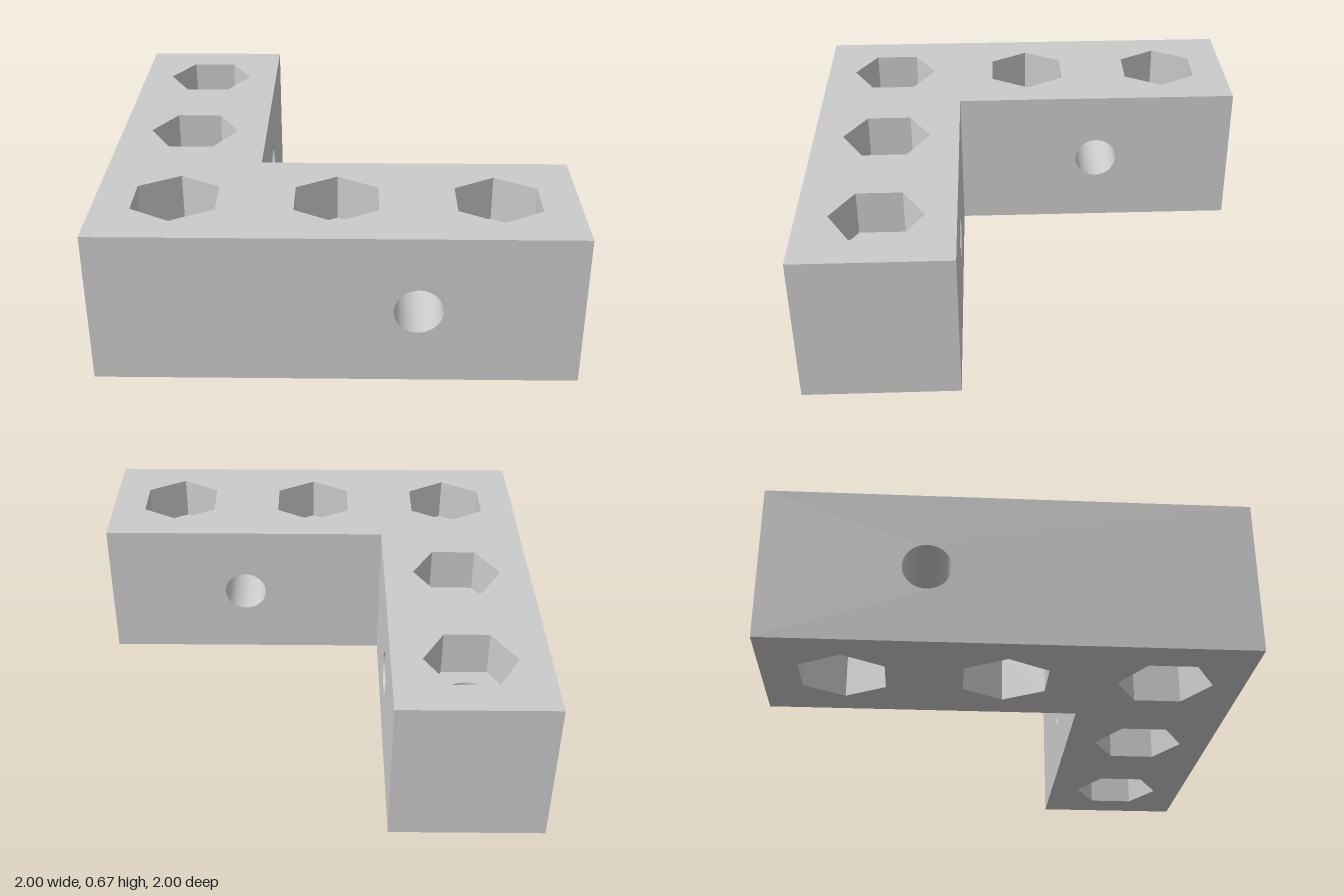
import * as THREE from 'three';

const T = 1 / 3, H = 2 * T;          // grid third, block height
const BORE = 0.1, HEX = 0.2, DEPTH = 0.2; // bore radius, hex corner radius, pocket depth

export function createModel() {
  const group = new THREE.Group();
  const solid = new THREE.MeshStandardMaterial({ color: 0xcccccc });
  const bored = new THREE.MeshStandardMaterial({ color: 0xcccccc, side: THREE.DoubleSide });
  const faceted = new THREE.MeshStandardMaterial({ color: 0xcccccc, side: THREE.DoubleSide, flatShading: true });

  const add = (name, geometry, material, x = 0, y = 0, z = 0) => {
    const mesh = new THREE.Mesh(geometry, material);
    mesh.name = name;
    mesh.position.set(x, y, z);
    group.add(mesh);
    return mesh;
  };
  const circleHole = (x, y) => new THREE.Path().absarc(x, y, BORE, 0, Math.PI * 2, true);
  const points = (list) => list.map(([x, y]) => new THREE.Vector2(x, y));
  // Hexagon with a corner along y (turned = false) or along x (turned = true)
  const hexagon = (x, y, turned) => points([0, 1, 2, 3, 4, 5].map((i) => {
    const a = i * Math.PI / 3 + (turned ? 0 : Math.PI / 6);
    return [x + HEX * Math.cos(a), y + HEX * Math.sin(a)];
  }));

  // Vertical bolt positions: x, z, hexagon turned
  const bolts = [
    [-H, H, false], [0, H, false], [H, H, false],
    [-H, 0, true], [-H, -H, true],
  ];

  // L-shaped top and bottom faces with hexagonal openings
  for (const up of [1, -1]) {
    const shape = new THREE.Shape(points(
      [[-1, 1], [1, 1], [1, T], [-T, T], [-T, -1], [-1, -1]].map(([x, z]) => [x, -up * z])));
    for (const [x, z, turned] of bolts) shape.holes.push(new THREE.Path(hexagon(x, -up * z, turned)));
    const geometry = new THREE.ShapeGeometry(shape).rotateX(-up * Math.PI / 2);
    add(up > 0 ? 'topFace' : 'bottomFace', geometry, solid, 0, up > 0 ? H : 0, 0);
  }

  // Side walls, some pierced by a cross bore
  const wall = (name, width, x, z, turn, holeAt = null) => {
    const w = width / 2;
    const shape = new THREE.Shape(points([[-w, 0], [w, 0], [w, H], [-w, H]]));
    if (holeAt !== null) shape.holes.push(circleHole(holeAt, T));
    add(name, new THREE.ShapeGeometry(shape, 24), solid, x, 0, z).rotation.y = turn;
  };
  wall('frontWall', 2, 0, 1, 0, T);
  wall('outerSideWall', 2, -1, 0, -Math.PI / 2, -T);
  wall('innerBackWall', 4 * T, T, T, Math.PI, 0);
  wall('innerSideWall', 4 * T, -T, -T, Math.PI / 2, 0);
  wall('sideEnd', H, 1, H, Math.PI / 2);
  wall('backEnd', H, -H, -1, Math.PI);

  // Open tube lining a hole
  const tube = (radius, length, sides) =>
    new THREE.CylinderGeometry(radius, radius, length, sides, 1, true);

  // Vertical bolt holes: round bore with a hex pocket at each end
  for (const [x, z, turned] of bolts) {
    add('boltBore', tube(BORE, H - 2 * DEPTH, 48), bored, x, T, z);
    for (const up of [1, -1]) {
      const end = up > 0 ? H : 0;
      const pocket = add('hexPocket', tube(HEX, DEPTH, 6), faceted, x, end - up * DEPTH / 2, z);
      pocket.rotation.y = turned ? Math.PI / 2 : 0;
      const floor = new THREE.Shape(hexagon(0, 0, turned));
      floor.holes.push(circleHole(0, 0));
      add('pocketFloor', new THREE.ShapeGeometry(floor, 24).rotateX(-up * Math.PI / 2),
        solid, x, end - up * DEPTH, z);
    }
  }

  // Horizontal cross bores, one through each arm
  add('frontArmBore', tube(BORE, H, 48).rotateX(Math.PI / 2), bored, T, T, H);
  add('sideArmBore', tube(BORE, H, 48).rotateZ(Math.PI / 2), bored, -H, T, -T);

  return group;
}
